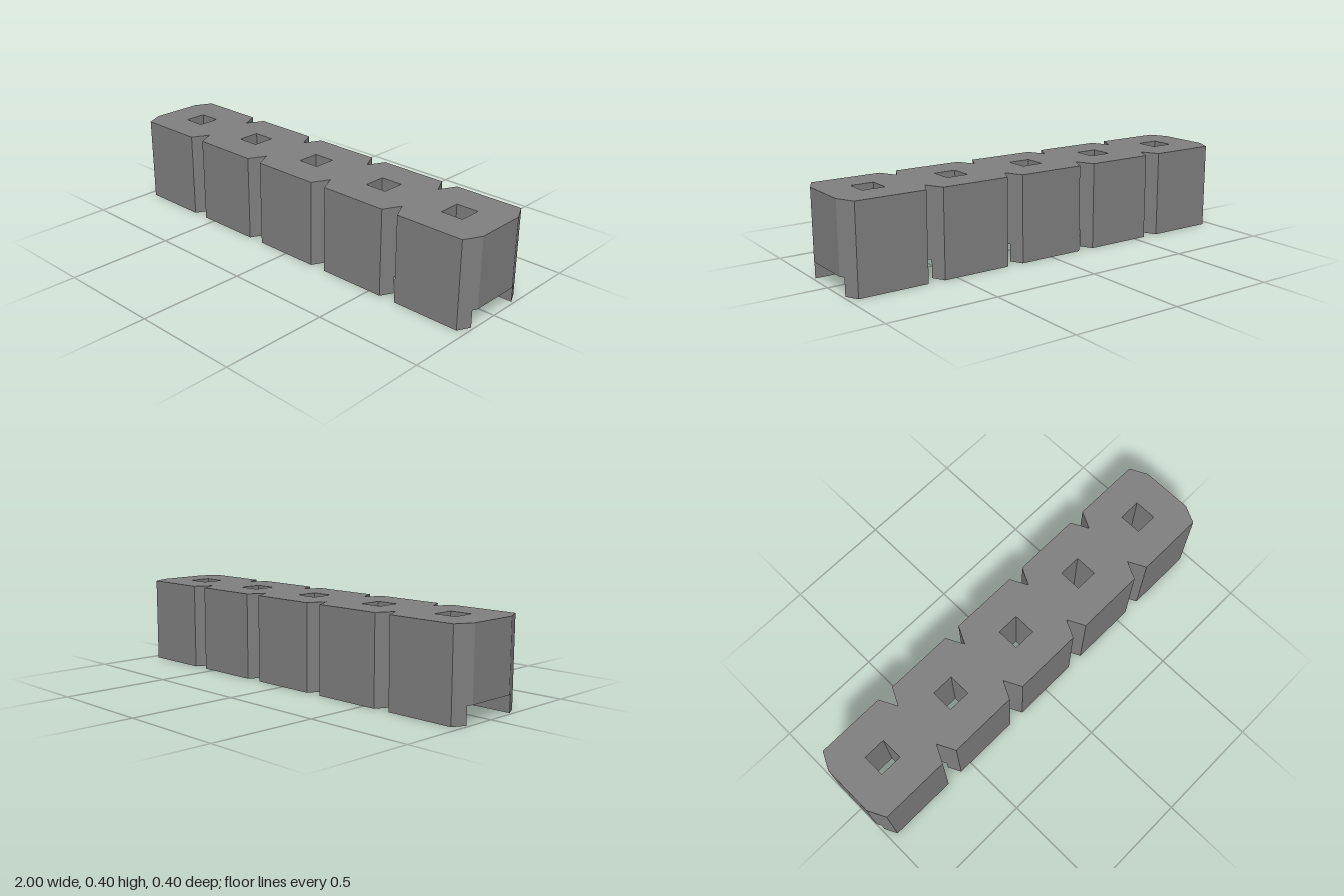
import * as THREE from 'three';

const COUNT = 5, PITCH = 0.4;
const HALF = 0.2;          // half width and half depth of a segment
const FLAT = 0.16;         // half length of the flat outer face
const NECK = 0.12;         // half depth where segments meet
const CHANNEL = 0.142;     // half width of the channel underneath
const CHANNEL_TOP = 0.08, TOP = 0.4, HOLE = 0.052;

const centres = Array.from({ length: COUNT }, (_, i) => (i - (COUNT - 1) / 2) * PITCH);

// Extrude a plan shape (x, -z) upwards from y0 to y1
function extrudeUp(shape, y0, y1) {
  const geometry = new THREE.ExtrudeGeometry(shape, { depth: y1 - y0, bevelEnabled: false });
  return geometry.rotateX(-Math.PI / 2).translate(0, y0, 0);
}

function shapeFrom(points) {
  return new THREE.Shape(points.map(([x, y]) => new THREE.Vector2(x, y)));
}

export function createModel() {
  const group = new THREE.Group();
  group.name = 'segmentedBlock';
  const grey = new THREE.MeshStandardMaterial({ color: 0x808080 });
  grey.name = 'grey';

  const add = (name, geometry) => {
    const mesh = new THREE.Mesh(geometry, grey);
    mesh.name = name;
    group.add(mesh);
  };

  // Body: one row of chamfered segments with a square hole in each
  const side = [];
  for (const x of centres) side.push([x - HALF, -NECK], [x - FLAT, -HALF], [x + FLAT, -HALF]);
  side.push([1, -NECK]);
  const outline = shapeFrom([...side, ...side.map(([x, y]) => [-x, -y])]);
  for (const x of centres) {
    outline.holes.push(new THREE.Path([
      new THREE.Vector2(x - HOLE, -HOLE), new THREE.Vector2(x - HOLE, HOLE),
      new THREE.Vector2(x + HOLE, HOLE), new THREE.Vector2(x + HOLE, -HOLE),
    ]));
  }
  add('body', extrudeUp(outline, CHANNEL_TOP, TOP));

  // Feet: the chamfered strips left on each side of the channel
  const inner = HALF - (HALF - FLAT) * (CHANNEL - NECK) / (HALF - NECK);
  const footShape = shapeFrom([[-FLAT, -HALF], [FLAT, -HALF], [inner, -CHANNEL], [-inner, -CHANNEL]]);
  for (const x of centres) {
    add('frontFoot', extrudeUp(footShape, 0, CHANNEL_TOP).translate(x, 0, 0));
    add('backFoot', extrudeUp(footShape, 0, CHANNEL_TOP).rotateY(Math.PI).translate(x, 0, 0));
  }
  return group;
}
